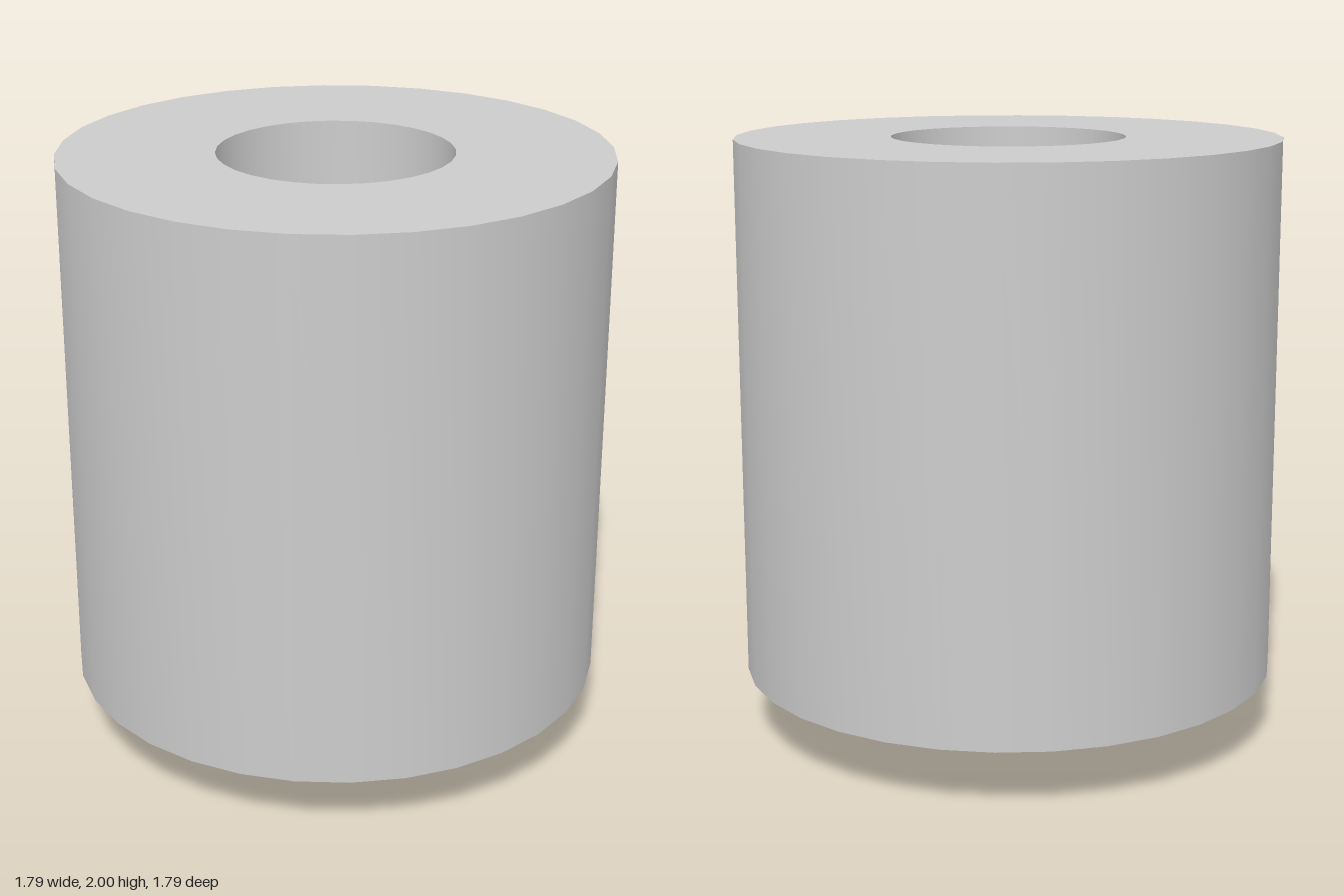
import * as THREE from 'three';
import { toCreasedNormals } from 'three/addons/utils/BufferGeometryUtils.js';

const SIDES = 32;

// Turned solid from [radius, height] points, listed bottom centre, outside, top centre
function turned(name, points, material) {
  const profile = points.map(([r, y]) => new THREE.Vector2(r, y));
  const geometry = toCreasedNormals(new THREE.LatheGeometry(profile, SIDES), Math.PI / 6);
  const mesh = new THREE.Mesh(geometry, material);
  mesh.name = name;
  return mesh;
}

export function createModel() {
  const model = new THREE.Group();
  model.name = 'boredCylinder';

  const grey = new THREE.MeshStandardMaterial({ color: 0xcccccc });
  grey.name = 'light grey';

  const baseY = 0.21, topY = 2, outerR = 0.895, boreR = 0.385, boreFloorY = 0.72;

  // Thick-walled body with a blind bore open at the top
  model.add(turned('body', [
    [0, baseY], [outerR, baseY], [outerR, topY],
    [boreR, topY], [boreR, boreFloorY], [0, boreFloorY],
  ], grey));

  // Short pin under the body
  model.add(turned('pin', [[0, 0], [0.125, 0], [0.125, baseY], [0, baseY]], grey));

  return model;
}
